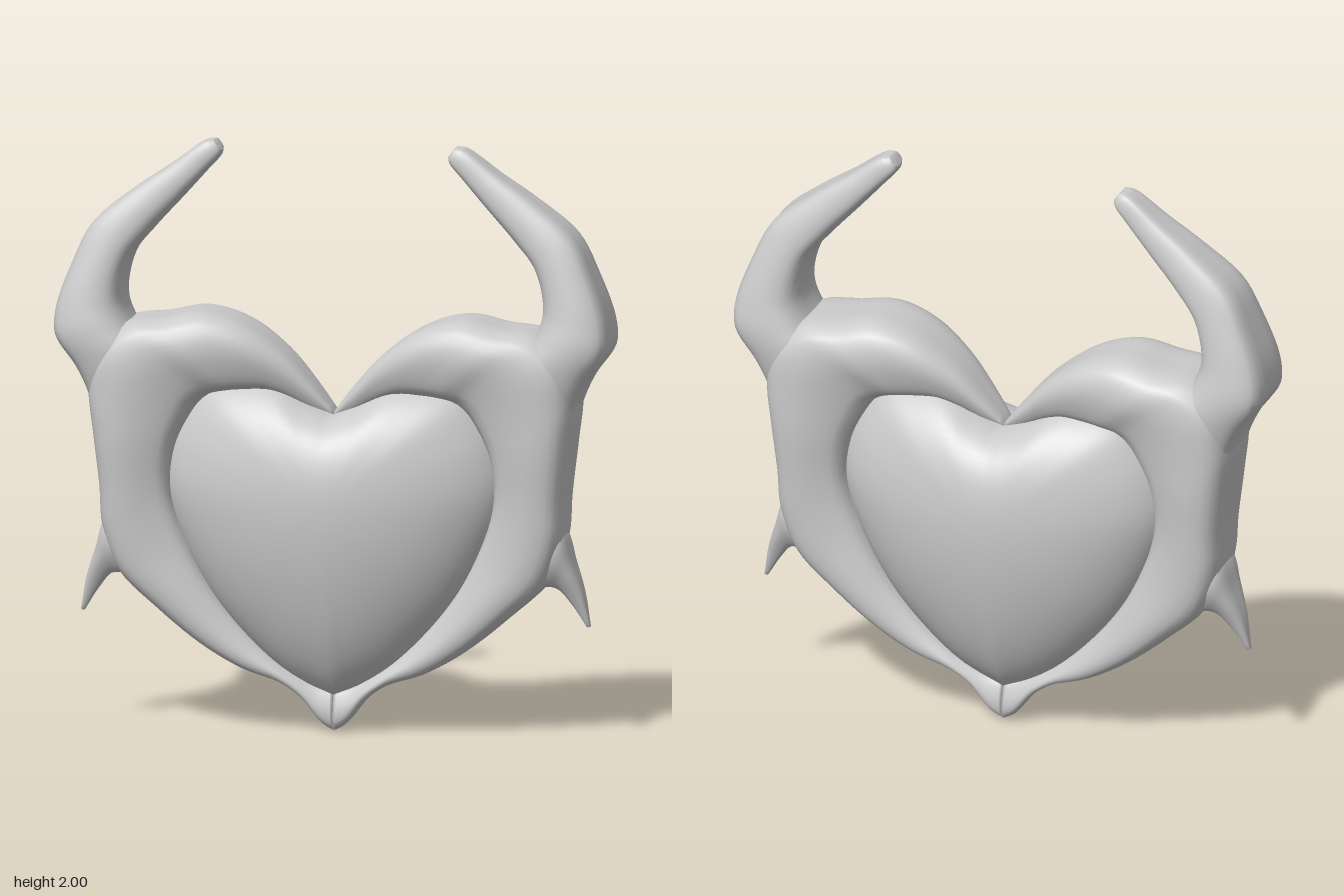
import * as THREE from 'three';

const material = new THREE.MeshStandardMaterial({ color: 0xcccccc });

// Skins a row of closed cross-sections and closes both ends with a fan.
function skin(rings, flip) {
  const n = rings[0].length, pos = [], idx = [];
  const tri = (a, b, c) => (flip ? idx.push(a, c, b) : idx.push(a, b, c));
  rings.forEach(r => r.forEach(p => pos.push(p.x, p.y, p.z)));
  for (let i = 0; i < rings.length - 1; i++) {
    for (let j = 0; j < n; j++) {
      const a = i * n + j, b = i * n + (j + 1) % n;
      tri(a, b, b + n);
      tri(a, b + n, a + n);
    }
  }
  [0, rings.length - 1].forEach((i, end) => {
    const c = new THREE.Vector3();
    rings[i].forEach(p => c.addScaledVector(p, 1 / n));
    const k = pos.length / 3;
    pos.push(c.x, c.y, c.z);
    for (let j = 0; j < n; j++) {
      const a = i * n + j, b = i * n + (j + 1) % n;
      if (end) tri(a, b, k); else tri(b, a, k);
    }
  });
  const g = new THREE.BufferGeometry();
  g.setAttribute('position', new THREE.Float32BufferAttribute(pos, 3));
  g.setIndex(idx);
  g.computeVertexNormals();
  return g;
}

const spline = (pts, closed = false) => new THREE.CatmullRomCurve3(
  pts.map(p => new THREE.Vector3(p[0], p[1], p[2] || 0)), closed, 'centripetal');

// Section shape: u runs from inner (0) to outer (1) edge, w is the share of the half depth.
function section(half) {
  const back = half.slice().reverse().map(([u, w]) => [u, -w]);
  return spline([[0, 0], ...half, [1, 0], ...back], true).getPoints(32).slice(0, 32);
}
const frameSection = section([[0.05, 0.65], [0.28, 0.87], [0.58, 1], [0.84, 0.93], [0.98, 0.62]]);
const hornSection = section([[0.04, 0.6], [0.2, 0.9], [0.5, 1], [0.8, 0.93], [0.97, 0.75]]);

// Stations are [inner x, inner y, outer x, outer y, half depth].
function loft(stations, shape, side) {
  const inner = spline(stations.map(s => [s[0], s[1], s[4]]));
  const outer = spline(stations.map(s => [s[2], s[3], s[4]]));
  const count = (stations.length - 1) * 5, rings = [];
  for (let i = 0; i <= count; i++) {
    const a = inner.getPoint(i / count), b = outer.getPoint(i / count);
    rings.push(shape.map(p => new THREE.Vector3(
      side * THREE.MathUtils.lerp(a.x, b.x, p.x),
      THREE.MathUtils.lerp(a.y, b.y, p.x),
      p.y * (a.z + b.z) / 2)));
  }
  return skin(rings, side < 0);
}

const frameStations = [
  [0, 0.14, 0, 0.0, 0.065],
  [0.06, 0.155, 0.04, 0.025, 0.07],
  [0.12, 0.185, 0.11, 0.11, 0.075],
  [0.19, 0.23, 0.18, 0.16, 0.085],
  [0.28, 0.31, 0.31, 0.205, 0.1],
  [0.37, 0.41, 0.45, 0.285, 0.115],
  [0.44, 0.51, 0.6, 0.405, 0.13],
  [0.5, 0.63, 0.73, 0.53, 0.14],
  [0.54, 0.74, 0.785, 0.68, 0.15],
  [0.555, 0.84, 0.795, 0.82, 0.16],
  [0.54, 0.96, 0.815, 1.0, 0.175],
  [0.5, 1.05, 0.83, 1.15, 0.18],
  [0.46, 1.11, 0.81, 1.29, 0.185],
  [0.42, 1.14, 0.71, 1.375, 0.185],
  [0.36, 1.155, 0.58, 1.395, 0.185],
  [0.3, 1.16, 0.45, 1.42, 0.17],
  [0.22, 1.16, 0.31, 1.385, 0.145],
  [0.14, 1.13, 0.17, 1.29, 0.105],
  [0.06, 1.085, 0.07, 1.18, 0.07],
  [0, 1.06, 0, 1.09, 0.04],
];
const hornStations = [
  [0.64, 1.02, 0.8, 1.0, 0.1],
  [0.6, 1.16, 0.832, 1.14, 0.145],
  [0.62, 1.28, 0.87, 1.225, 0.165],
  [0.69, 1.37, 0.94, 1.33, 0.168],
  [0.72, 1.46, 0.94, 1.42, 0.155],
  [0.69, 1.6, 0.885, 1.58, 0.13],
  [0.62, 1.69, 0.82, 1.71, 0.11],
  [0.52, 1.8, 0.69, 1.82, 0.085],
  [0.44, 1.89, 0.56, 1.91, 0.065],
  [0.392, 1.945, 0.445, 1.992, 0.048],
  [0.387, 1.965, 0.412, 1.998, 0.035],
];
const spikeStations = [
  [0.86, 0.377, 0.872, 0.38, 0.008],
  [0.815, 0.45, 0.85, 0.495, 0.04],
  [0.76, 0.512, 0.815, 0.6, 0.078],
  [0.685, 0.515, 0.782, 0.7, 0.108],
  [0.58, 0.54, 0.72, 0.77, 0.08],
];

// Inflated heart: an outline that grows from a round pole to the heart rim and back.
function heartGeometry() {
  const right = spline([[0, 0.13], [0.15, 0.2], [0.28, 0.31], [0.4, 0.45], [0.5, 0.63],
    [0.56, 0.82], [0.54, 0.96], [0.49, 1.06], [0.42, 1.14], [0.33, 1.165], [0.2, 1.165],
    [0.09, 1.11], [0, 1.07]]).getPoints(40);
  const left = right.slice(1, -1).reverse().map(p => new THREE.Vector3(-p.x, p.y, 0));
  const cy = 0.79, rows = 36, rings = [];
  const outline = [...right, ...left].map(p => new THREE.Vector3(p.x, p.y - cy, 0));
  for (let i = 1; i < rows; i++) {
    const a = Math.PI * i / rows, s = Math.sin(a), c = -Math.cos(a);
    const z = 0.258 * Math.sign(c) * Math.abs(c) ** 1.12;
    rings.push(outline.map(p => {
      const r = 1.04 * s * THREE.MathUtils.lerp(0.5, p.length(), s) / p.length();
      return new THREE.Vector3(p.x * r, cy + p.y * r, z);
    }));
  }
  return skin(rings, false);
}

export function createModel() {
  const model = new THREE.Group();
  model.name = 'hornedHeart';
  const add = (name, geometry) => {
    const mesh = new THREE.Mesh(geometry, material);
    mesh.name = name;
    model.add(mesh);
  };
  add('heart', heartGeometry());
  for (const [label, side] of [['left', 1], ['right', -1]]) {
    add(label + 'Frame', loft(frameStations, frameSection, side));
    add(label + 'Horn', loft(hornStations, hornSection, side));
    add(label + 'Spike', loft(spikeStations, frameSection, side));
  }
  return model;
}
